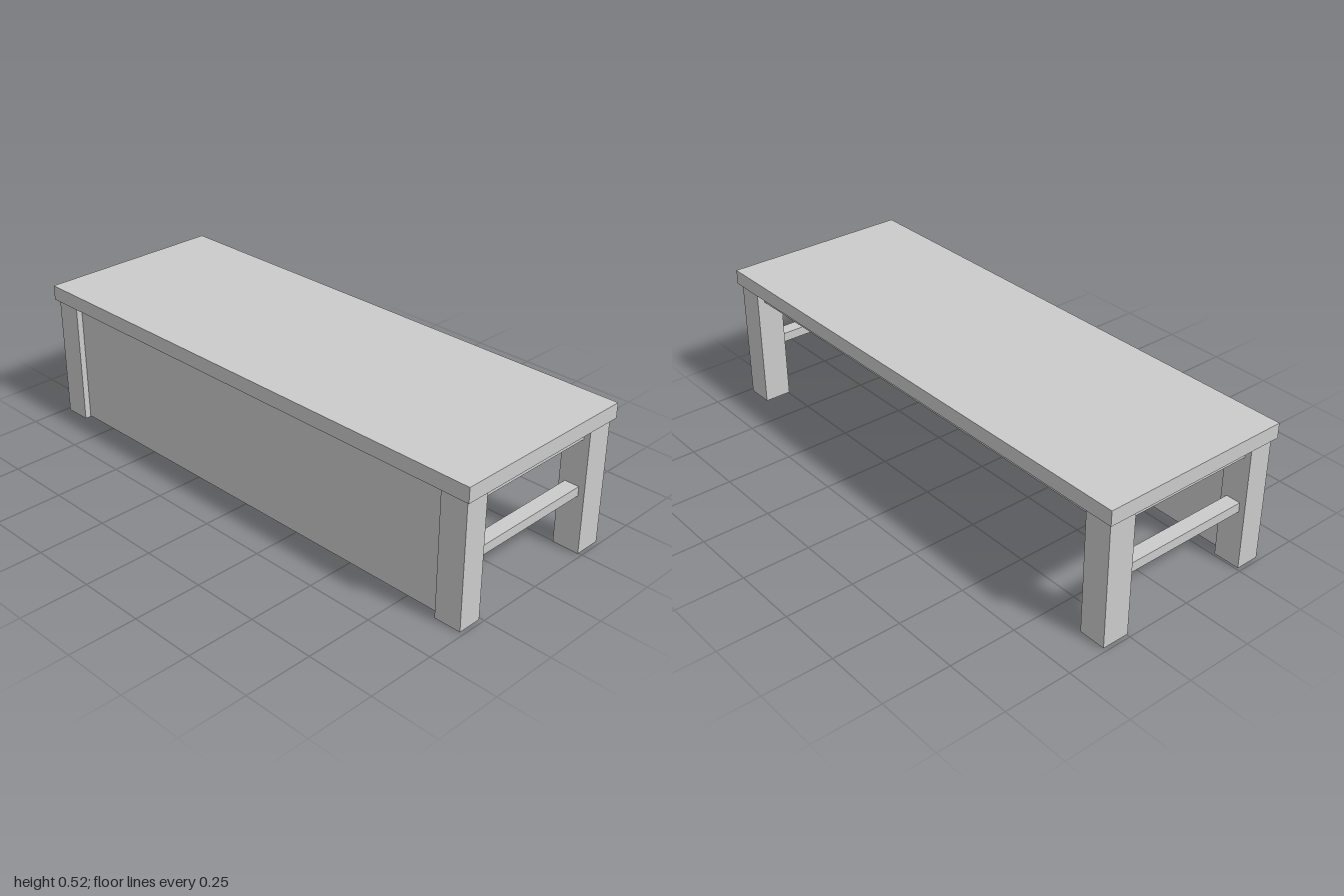
import * as THREE from 'three';

const material = new THREE.MeshStandardMaterial({ color: 0xcccccc, flatShading: true });

// Box given by its [min, max] range on each axis
function addBox(group, name, [x0, x1], [y0, y1], [z0, z1]) {
  const mesh = new THREE.Mesh(new THREE.BoxGeometry(x1 - x0, y1 - y0, z1 - z0), material);
  mesh.position.set((x0 + x1) / 2, (y0 + y1) / 2, (z0 + z1) / 2);
  mesh.name = name;
  group.add(mesh);
}

export function createModel() {
  const table = new THREE.Group();
  table.name = 'table';
  const under = 0.467; // underside of the top
  const frontZ = [0.258, 0.348];
  const backZ = [-0.348, -0.246];
  const between = [backZ[1], frontZ[0]];

  addBox(table, 'tableTop', [-1, 1], [under, 0.522], [-0.361, 0.361]);

  // Legs and end rails, mirrored left and right
  for (const [side, s] of [['left', 1], ['right', -1]]) {
    const mirror = (a, b) => (s > 0 ? [a, b] : [-b, -a]);
    const legX = mirror(0.885, 0.986);
    const railX = mirror(0.908, 0.963);
    addBox(table, side + 'FrontLeg', legX, [0, under], frontZ);
    addBox(table, side + 'BackLeg', legX, [0, under], backZ);
    addBox(table, side + 'Apron', railX, [0.42, under], between);
    addBox(table, side + 'Stretcher', railX, [0.212, 0.247], between);
  }

  // Full-height front panel and slim back rail
  addBox(table, 'frontPanel', [-0.885, 0.885], [0.004, under], [0.29, 0.325]);
  addBox(table, 'backRail', [-0.885, 0.885], [0.42, under], [-0.32, -0.272]);

  return table;
}
